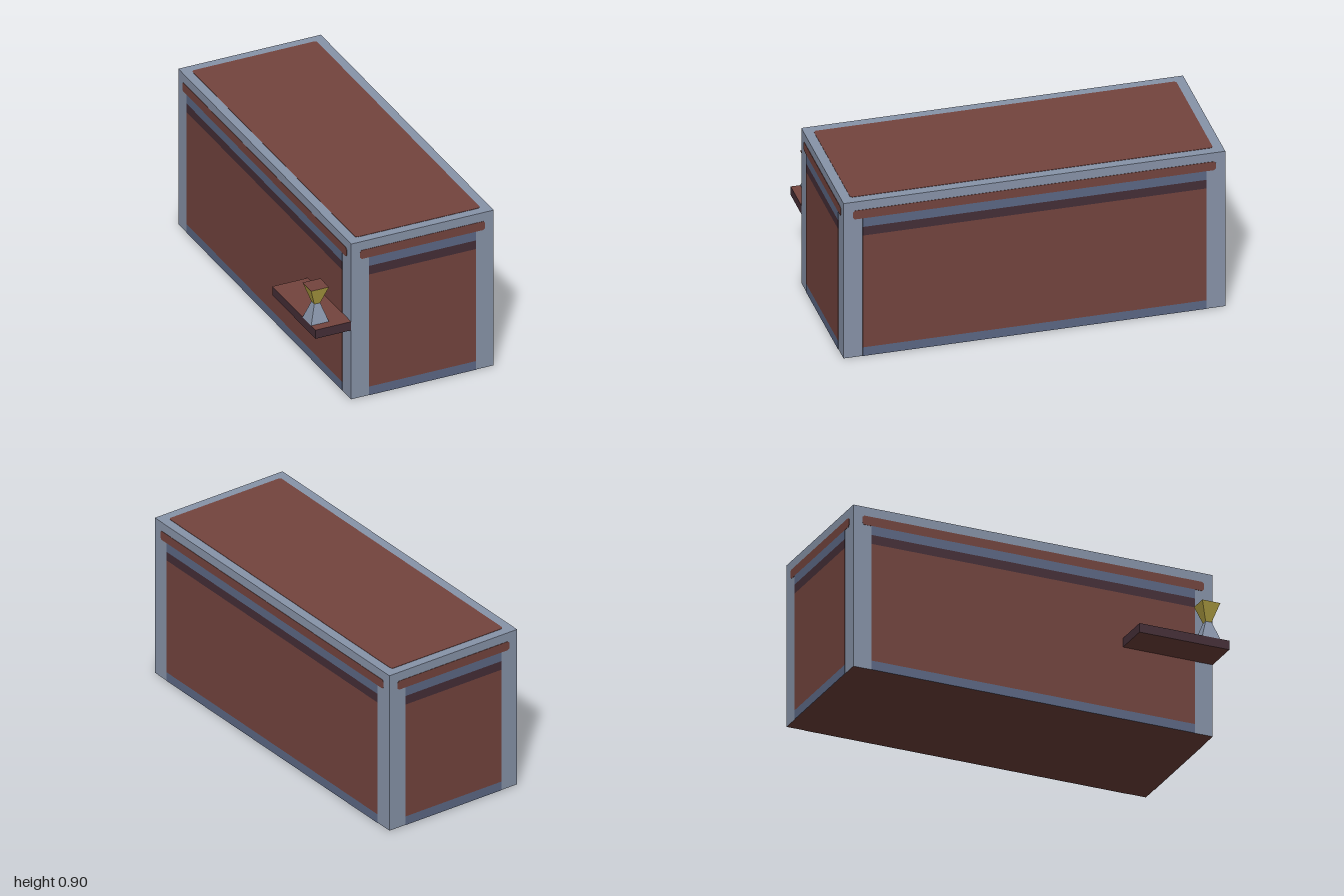
import * as THREE from 'three';

const mat = (name, color) => {
  const m = new THREE.MeshStandardMaterial({ color });
  m.name = name;
  return m;
};

export function createModel() {
  const brown = mat('brown', 0x74443e);
  const darkBrown = mat('dark brown', 0x452e37);
  const lightSteel = mat('light steel', 0x8894a9);
  const darkSteel = mat('dark steel', 0x5c6885);
  const gold = mat('gold', 0xc2b04a);

  const model = new THREE.Group();
  model.name = 'chest';
  const add = (parent, name, geometry, material, x = 0, y = 0, z = 0) => {
    const mesh = new THREE.Mesh(geometry, material);
    mesh.name = name;
    mesh.position.set(x, y, z);
    parent.add(mesh);
    return mesh;
  };

  // Thin plate facing +z, with small clipped corners
  const plate = (w, h, c = 0) => {
    const a = w / 2, b = h / 2;
    const pts = c
      ? [[-a + c, -b], [a - c, -b], [a, -b + c], [a, b - c], [a - c, b], [-a + c, b], [-a, b - c], [-a, -b + c]]
      : [[-a, -b], [a, -b], [a, b], [-a, b]];
    const shape = new THREE.Shape(pts.map(p => new THREE.Vector2(...p)));
    return new THREE.ExtrudeGeometry(shape, { depth: 0.002, bevelEnabled: false });
  };

  // Body: steel shell with a brown underside
  const W = 0.8, H = 0.9, D = 2, cx = 0.1;
  add(model, 'body', new THREE.BoxGeometry(W, H, D),
    [lightSteel, lightSteel, lightSteel, brown, lightSteel, lightSteel], cx, H / 2, 0);

  // Lid panel
  add(model, 'lidPanel', plate(W - 0.1, D - 0.1, 0.01), brown, cx, H, 0).rotation.x = -Math.PI / 2;

  // Four painted walls: strips between the corner posts, and a rail near the top
  const strips = [
    ['baseStrip', 0, 0.05, darkSteel],
    ['wallPanel', 0.05, 0.7, brown],
    ['shadowStrip', 0.7, 0.75, darkBrown],
    ['upperStrip', 0.75, 0.8, darkSteel],
  ];
  ['frontWall', 'leftWall', 'backWall', 'rightWall'].forEach((name, i) => {
    const width = i % 2 ? D : W, out = i % 2 ? W / 2 : D / 2;
    const wall = new THREE.Group();
    wall.name = name;
    wall.position.x = cx;
    wall.rotation.y = i * Math.PI / 2;
    for (const [part, y0, y1, m] of strips)
      add(wall, part, plate(width - 0.2, y1 - y0), m, 0, (y0 + y1) / 2, out);
    add(wall, 'rail', plate(width - 0.1, 0.05, 0.009), brown, 0, 0.825, out);
    model.add(wall);
  });

  // Side shelf
  add(model, 'shelf', new THREE.BoxGeometry(0.2, 0.05, 0.5),
    [darkBrown, darkBrown, brown, brown, darkBrown, darkBrown], -0.4, 0.425, 0.75);

  // Square goblet: two tapered blocks meeting at a narrow waist
  const taper = (top, bottom) => {
    const g = new THREE.CylinderGeometry(top / Math.SQRT2, bottom / Math.SQRT2, 0.1, 4)
      .rotateY(Math.PI / 4).toNonIndexed();
    g.computeVertexNormals();
    return g;
  };
  const goblet = new THREE.Group();
  goblet.name = 'goblet';
  goblet.position.set(-0.45, 0.45, 0.9);
  add(goblet, 'gobletFoot', taper(0.033, 0.1), lightSteel, 0, 0.05, 0);
  add(goblet, 'gobletCup', taper(0.1, 0.033), [gold, brown, gold], 0, 0.15, 0);
  model.add(goblet);

  return model;
}
